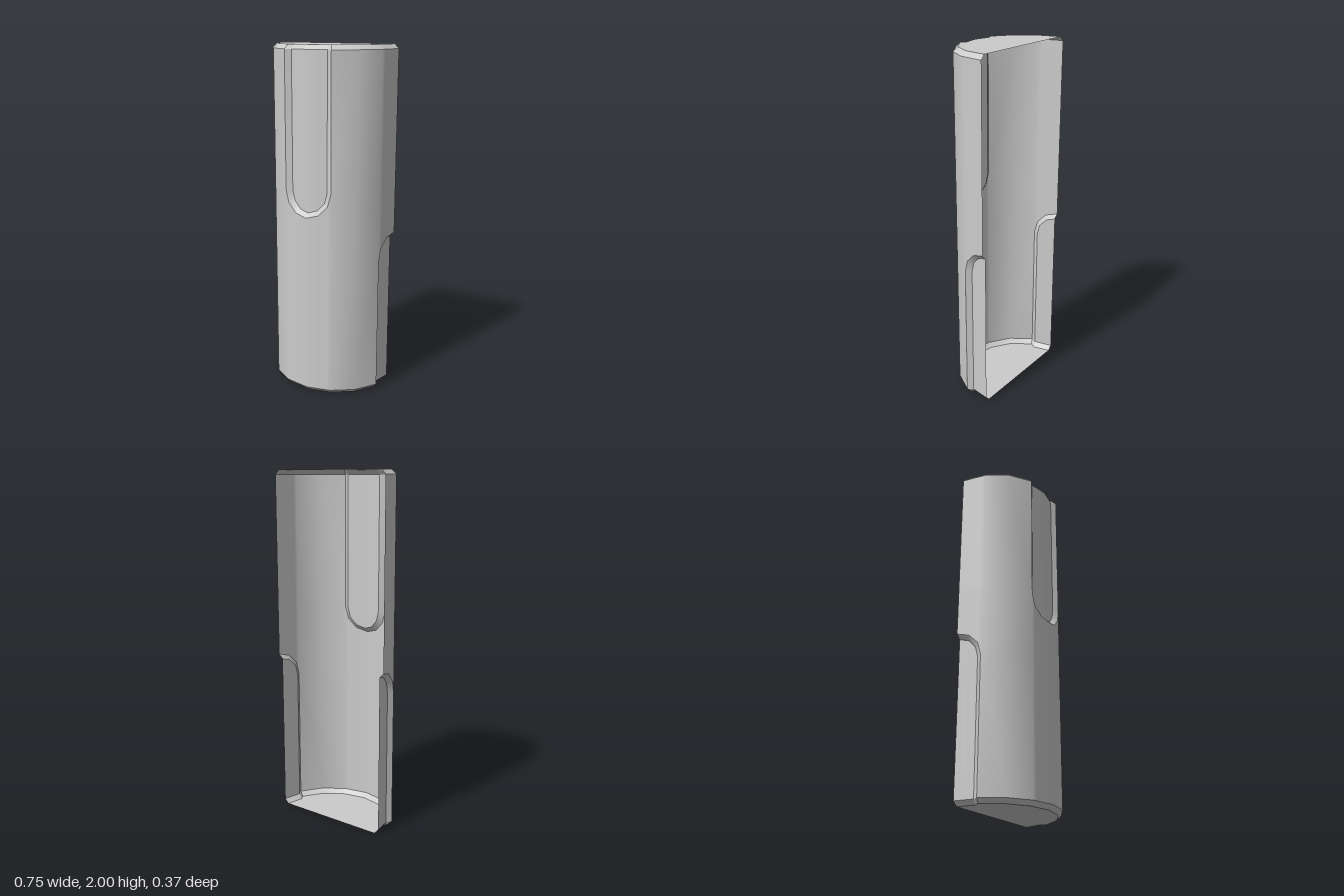
import * as THREE from 'three';
import { mergeGeometries, toCreasedNormals } from 'three/addons/utils/BufferGeometryUtils.js';

const R = 0.374;        // radius of the 16-sided body
const BEVEL = 0.025;    // end chamfer and groove depth
const FLOOR = R - BEVEL;
const ARC_Y = 1.203;    // height where the round end of a groove begins
const STEP = Math.PI / 8;

// Point on the faceted wall: s counts facets from the middle of a groove
function wall(s, r, y) {
  const i = Math.min(Math.floor(s), 1);
  const at = (k) => new THREE.Vector3(Math.sin(k * STEP) * r, y - 1, Math.cos(k * STEP) * r);
  return at(i).lerp(at(i + 1), s - i);
}

// Quads between rows of points, leaving out collapsed triangles
function addGrid(out, rows, mirror) {
  const tri = (a, b, c) => {
    if (a.distanceTo(b) < 1e-6 || b.distanceTo(c) < 1e-6 || a.distanceTo(c) < 1e-6) return;
    for (const p of mirror < 0 ? [a, c, b] : [a, b, c]) out.push(p.x * mirror, p.y, p.z);
  };
  for (let j = 0; j + 1 < rows.length; j++) {
    for (let i = 0; i + 1 < rows[j].length; i++) {
      const a = rows[j][i], b = rows[j][i + 1], c = rows[j + 1][i + 1], d = rows[j + 1][i];
      tri(a, b, c);
      tri(a, c, d);
    }
  }
}

// One eighth of the body: half a groove at the top plus one plain facet
function octant(mirror) {
  const out = [];
  const angles = [0, 1, 2, 3].map((k) => k * Math.PI / 6);
  const outer = angles.map(Math.sin);
  const inner = outer.map((s) => s * 0.825);
  const row = (list, r, y) => list.map((s) => wall(s, r, y));
  const arc = (list, r, h) => list.map((s, k) => wall(s, r, ARC_Y - h * Math.cos(angles[k])));
  const base = (list) => [
    row(list, 0, 0), row(list, FLOOR, 0), row(list, R, BEVEL), row(list, R, 2 - ARC_Y),
  ];

  // Bottom cap, wall, rounded lip, groove floor and top cap
  addGrid(out, [
    ...base(outer),
    arc(outer, R, 0.143), arc(inner, FLOOR, 0.118),
    row(inner, FLOOR, 2 - BEVEL), row(inner, FLOOR - BEVEL, 2), row(inner, 0, 2),
  ], mirror);

  // Straight lip of the groove
  const lip = (drop, y) => [wall(0.825, FLOOR - drop, y), wall(1, R - drop, y)];
  addGrid(out, [
    lip(0, ARC_Y), lip(0, 2 - BEVEL), lip(BEVEL, 2),
    [wall(0.825, 0, 2), wall(1, 0, 2)],
  ], mirror);

  // Plain facet
  const plain = [1, 2];
  addGrid(out, [
    ...base(plain), row(plain, R, ARC_Y), row(plain, R, 2 - BEVEL),
    row(plain, FLOOR, 2), row(plain, 0, 2),
  ], mirror);

  const geo = new THREE.BufferGeometry();
  geo.setAttribute('position', new THREE.Float32BufferAttribute(out, 3));
  return geo;
}

export function createModel() {
  const parts = [];
  for (const mirror of [1, -1]) {
    // The side half-groove is the front one turned upside down about the 45 degree axis
    const front = octant(mirror);
    const axis = new THREE.Vector3(mirror, 0, 1).normalize();
    const side = front.clone().applyMatrix4(new THREE.Matrix4().makeRotationAxis(axis, Math.PI));
    parts.push(front, side);
  }

  // Enlarged while creasing so close vertices stay distinct
  const k = 36.773;
  const geo = toCreasedNormals(mergeGeometries(parts).scale(k, k, k), Math.PI / 6);
  geo.scale(1 / k, 1 / k, 1 / k).translate(0, 1, -R / 2);

  const shell = new THREE.Mesh(geo, new THREE.MeshStandardMaterial({
    color: 0xcccccc, side: THREE.DoubleSide,
  }));
  shell.name = 'groovedHalfShell';

  const group = new THREE.Group();
  group.name = 'halfColumn';
  group.add(shell);
  return group;
}
